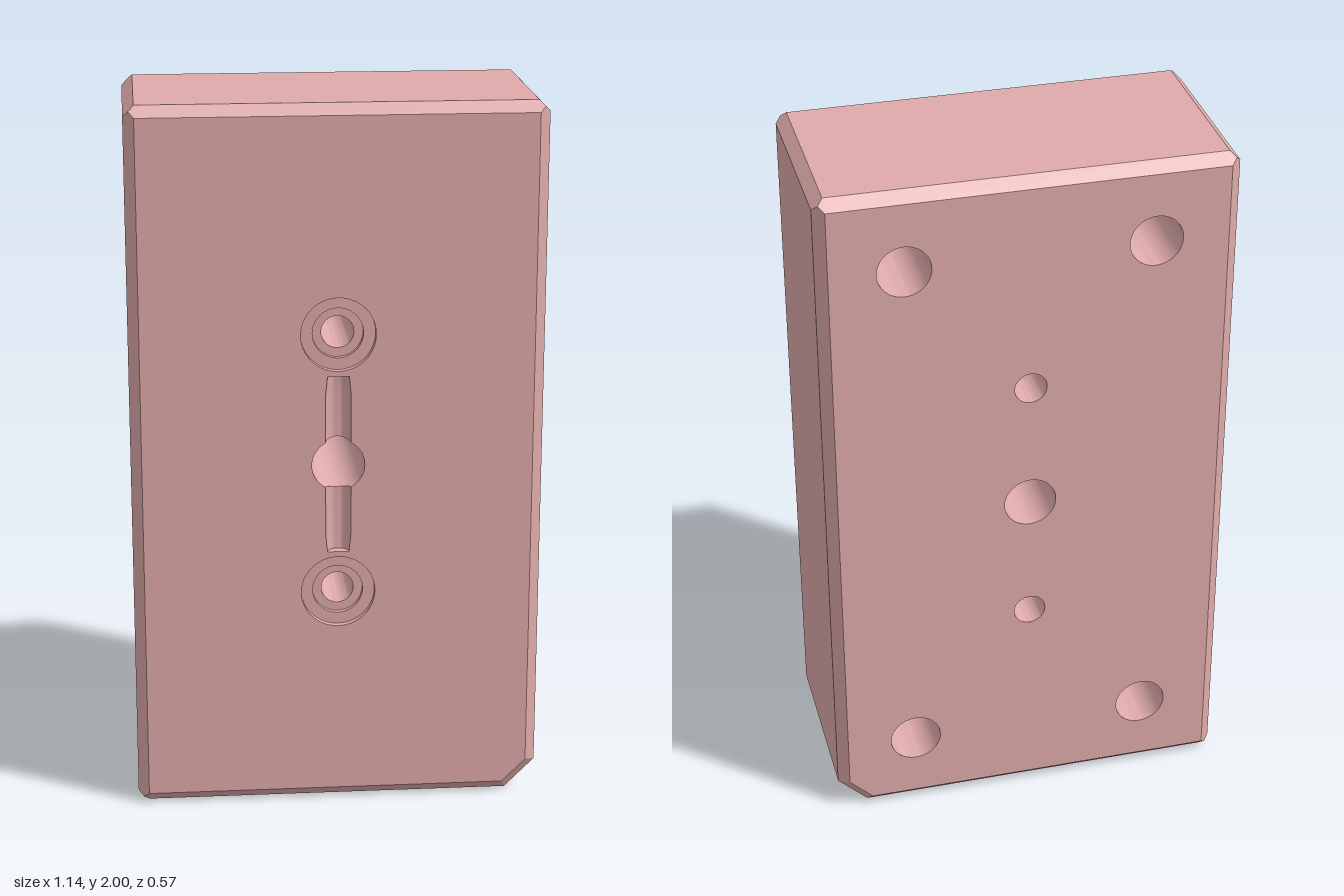
import * as THREE from 'three';
import { toCreasedNormals } from 'three/addons/utils/BufferGeometryUtils.js';
import { ConvexGeometry } from 'three/addons/geometries/ConvexGeometry.js';

const HX = 0.57, HZ = 0.285, TOP = 2, C = 0.03;   // half width, half depth, height, chamfer
const MID = 1, BORE = 0.073, SLOT = 0.035, SLOT_TIP = 0.03, SLOT_END = 0.253, SLOT_TAPER = 0.2;
const PORT = 0.045, PORT_STEP = 0.07, PORT_RIM = 0.103, PORT_Y = 0.371;
const PIN = 0.073, PIN_X = 0.34, PIN_Y = 0.775, PIN_DEPTH = 0.3;

const material = new THREE.MeshStandardMaterial({ color: 0xdfaaaa });
const cavityMaterial = new THREE.MeshStandardMaterial({ color: 0xdfaaaa, side: THREE.DoubleSide });

// Outline of the front and back faces, with the cut lower corner on +x
const faceOutline = [[-0.54, C], [0.473, C], [0.54, 0.097], [0.54, TOP - C], [-0.54, TOP - C]];

function circle(x, y, r) {
  return new THREE.Path().absarc(x, y, r, 0, Math.PI * 2, true);
}

// Flat face with openings; mirror = -1 turns it to the back
function faceGeometry(mirror, holes) {
  const shape = new THREE.Shape(faceOutline.map(([x, y]) => new THREE.Vector2(x * mirror, y)));
  shape.holes.push(...holes);
  const g = new THREE.ShapeGeometry(shape, 32);
  g.translate(0, 0, HZ);
  if (mirror < 0) g.rotateY(Math.PI);
  return g;
}

// Chamfered rim: hull of the block without its front and back faces
function rimGeometry() {
  const pts = [];
  for (const s of [-1, 1]) {
    const add = (x, y, z) => pts.push(new THREE.Vector3(x, y, z * s));
    faceOutline.forEach(([x, y]) => add(x, y, HZ));
    // outer edges of the cut corner
    add(0.485, 0, HZ - C);
    add(HX, 0.085, HZ - C);
    // three plain corners, where three chamfers meet
    for (const [sx, sy] of [[-1, -1], [-1, 1], [1, 1]]) {
      const at = (dx, dy, dz) => add(sx * (HX - dx), TOP / 2 + sy * (TOP / 2 - dy), HZ - dz);
      at(0, C, C);
      at(C, 0, C);
      at(C / 2, C / 2, C / 2);
    }
  }
  const hull = new ConvexGeometry(pts);
  const p = hull.attributes.position, n = hull.attributes.normal, keep = [];
  for (let i = 0; i < p.count; i += 3) {
    if (Math.abs(n.getZ(i)) > 0.99) continue;
    for (let k = i; k < i + 3; k++) keep.push(p.getX(k), p.getY(k), p.getZ(k));
  }
  const g = new THREE.BufferGeometry();
  g.setAttribute('position', new THREE.Float32BufferAttribute(keep, 3));
  g.computeVertexNormals();
  return g;
}

// Round cavity along z from [radius, z] pairs
function cavity(profile) {
  const g = new THREE.LatheGeometry(profile.map(([r, z]) => new THREE.Vector2(r, z)), 48);
  g.rotateX(Math.PI / 2);
  return toCreasedNormals(g, 0.6);
}

// Centre bore, its front rim dipped where the slots run in
function boreGeometry() {
  const g = new THREE.CylinderGeometry(BORE, BORE, HZ * 2, 128, 1, true);
  g.rotateX(Math.PI / 2);
  const p = g.attributes.position;
  for (let i = 0; i < p.count; i++) {
    const x = p.getX(i);
    if (p.getZ(i) > 0 && Math.abs(x) < SLOT) p.setZ(i, HZ - Math.sqrt(SLOT * SLOT - x * x));
  }
  return g;
}

// Half-round slot from the bore outwards, tapering to a closed end
function slotGeometry(dir) {
  const g = new THREE.PlaneGeometry(1, 1, 24, 3);
  const p = g.attributes.position;
  const widths = [SLOT, SLOT, SLOT_TIP, 0];
  for (let i = 0; i < p.count; i++) {
    const row = Math.round((p.getY(i) + 0.5) * 3), a = (p.getX(i) + 0.5) * Math.PI;
    const x = widths[row] * Math.cos(a);
    const y = [Math.sqrt(BORE * BORE - x * x), SLOT_TAPER, SLOT_END, SLOT_END][row];
    p.setXYZ(i, x, dir * y, HZ - widths[row] * Math.sin(a));
  }
  return toCreasedNormals(g, 0.6);
}

// Opening of bore and slots in the front face
function keyOpening() {
  const path = new THREE.Path(), a = Math.acos(SLOT / BORE);
  path.absarc(0, MID, BORE, -a, a, false);
  path.lineTo(SLOT, MID + SLOT_TAPER);
  path.lineTo(SLOT_TIP, MID + SLOT_END);
  path.lineTo(-SLOT_TIP, MID + SLOT_END);
  path.lineTo(-SLOT, MID + SLOT_TAPER);
  path.absarc(0, MID, BORE, Math.PI - a, Math.PI + a, false);
  path.lineTo(-SLOT, MID - SLOT_TAPER);
  path.lineTo(-SLOT_TIP, MID - SLOT_END);
  path.lineTo(SLOT_TIP, MID - SLOT_END);
  path.lineTo(SLOT, MID - SLOT_TAPER);
  path.closePath();
  return path;
}

export function createModel() {
  const model = new THREE.Group();
  model.name = 'chamferedBlock';
  const add = (name, geometry, mat, x = 0, y = 0) => {
    const mesh = new THREE.Mesh(geometry, mat);
    mesh.name = name;
    mesh.position.set(x, y, 0);
    model.add(mesh);
  };

  const frontHoles = [keyOpening()];
  const backHoles = [circle(0, MID, BORE)];

  add('centreBore', boreGeometry(), cavityMaterial, 0, MID);

  for (const sy of [-1, 1]) {
    const end = sy > 0 ? 'upper' : 'lower';
    add(end + 'Slot', slotGeometry(sy), cavityMaterial, 0, MID);

    // stepped screw hole, open at both faces
    const y = MID + sy * PORT_Y;
    add(end + 'ScrewHole', cavity([
      [PORT_RIM, HZ], [PORT_RIM, HZ - 0.02], [PORT_STEP, HZ - 0.02],
      [PORT_STEP, HZ - 0.035], [PORT, HZ - 0.035], [PORT, -HZ],
    ]), cavityMaterial, 0, y);
    frontHoles.push(circle(0, y, PORT_RIM));
    backHoles.push(circle(0, y, PORT));

    // blind pin holes in the back
    for (const sx of [-1, 1]) {
      const py = MID + sy * PIN_Y;
      add(end + (sx > 0 ? 'Left' : 'Right') + 'PinHole',
        cavity([[PIN, -HZ], [PIN, -HZ + PIN_DEPTH], [0, -HZ + PIN_DEPTH]]), cavityMaterial, sx * PIN_X, py);
      backHoles.push(circle(sx * PIN_X, py, PIN));
    }
  }

  add('chamferedRim', rimGeometry(), material);
  add('frontFace', faceGeometry(1, frontHoles), material);
  add('backFace', faceGeometry(-1, backHoles), material);
  return model;
}
